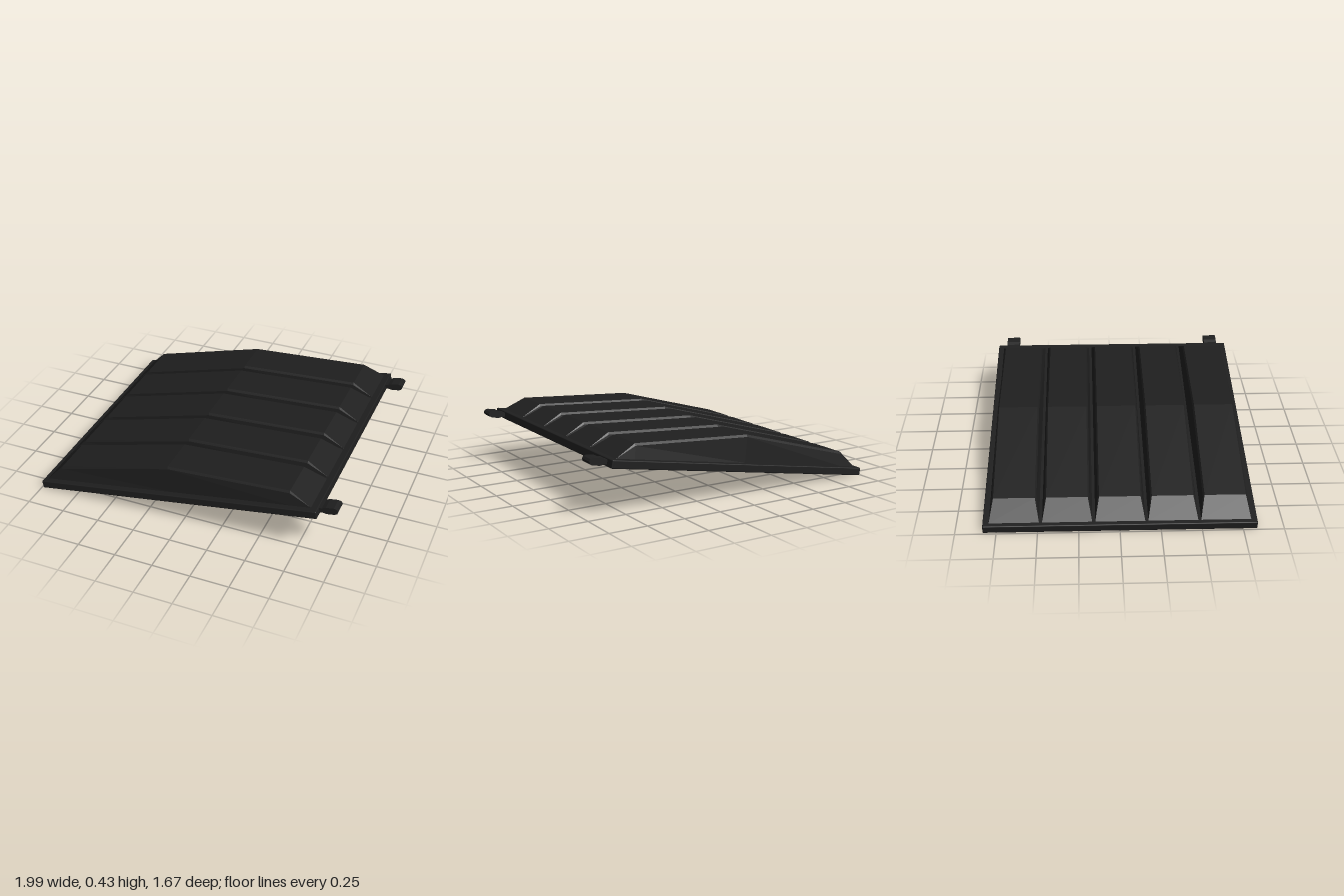
import * as THREE from 'three';
import { RoundedBoxGeometry } from 'three/addons/geometries/RoundedBoxGeometry.js';

const LENGTH = 1.902, WIDTH = 1.668, RIM = 0.052, RIBS = 5, PITCH = 0.322, EDGE = 0.006;

// Rib outline along the panel: [distance, height above the sheet]
const OUTLINE = [[EDGE, 0], [0.03, 0], [0.151, 0.092], [0.936, 0.175], [1.733, 0.091], [1.86, 0], [LENGTH - EDGE, 0]];

// Ribbed sheet swept along the panel; inset > 0 gives the hollow underside
function ribbedSheet(inset, flip) {
  const rows = OUTLINE.map(([u, h], i) => {
    const shift = i === 1 || i === 2 ? inset * 0.6 : i === 4 || i === 5 ? -inset * 0.6 : 0;
    const y = RIM - inset;
    const row = [[u, y, -WIDTH / 2 + EDGE]];
    const bevel = Math.min(0.014, h * 0.3);
    const base = 0.152 - inset * 0.7;
    const shoulder = base - 0.17 * Math.min(h, 0.092);
    for (let r = 0; r < RIBS; r++) {
      const z = (r - (RIBS - 1) / 2) * PITCH;
      const half = [[base, 0], [shoulder, h - bevel], [shoulder - bevel * 0.7, h]];
      half.forEach(([w, t]) => row.push([u + shift, y + t, z - w]));
      half.reverse().forEach(([w, t]) => row.push([u + shift, y + t, z + w]));
    }
    row.push([u, y, WIDTH / 2 - EDGE]);
    return row;
  });
  const pos = [];
  for (let i = 0; i < rows.length - 1; i++) {
    for (let j = 0; j < rows[i].length - 1; j++) {
      const a = rows[i][j], b = rows[i][j + 1], c = rows[i + 1][j + 1], d = rows[i + 1][j];
      const tris = flip ? [a, c, b, a, d, c] : [a, b, c, a, c, d];
      tris.forEach((p) => pos.push(...p));
    }
  }
  const geo = new THREE.BufferGeometry();
  geo.setAttribute('position', new THREE.Float32BufferAttribute(pos, 3));
  geo.computeVertexNormals();
  return geo;
}

export function createModel() {
  const black = new THREE.MeshStandardMaterial({ color: 0x1f1f1f });
  black.name = 'black plastic';
  const model = new THREE.Group();
  model.name = 'ribbedPanel';

  // Everything is built flat, then tilted
  const panel = new THREE.Group();
  panel.name = 'tiltedPanel';
  panel.position.set(-0.989, 0.003, 0.002);
  panel.rotation.z = Math.atan(0.169);
  model.add(panel);

  const add = (name, geo, x = 0, y = 0, z = 0) => {
    const mesh = new THREE.Mesh(geo, black);
    mesh.name = name;
    mesh.position.set(x, y, z);
    panel.add(mesh);
  };

  // Sheet with raised ribs, and its hollow underside
  add('ribbedTop', ribbedSheet(0, false));
  add('ribbedUnderside', ribbedSheet(0.024, true));

  // Rim around the sheet, its top just under the sheet surface
  const rimHeight = RIM - 0.001, rimY = rimHeight / 2;
  for (const s of [-1, 1]) {
    add(s > 0 ? 'frontRim' : 'backRim', new RoundedBoxGeometry(LENGTH, rimHeight, 0.032, 2, EDGE),
      LENGTH / 2, rimY, s * (WIDTH / 2 - 0.016));
    add(s > 0 ? 'upperRim' : 'lowerRim', new RoundedBoxGeometry(0.028, rimHeight, WIDTH, 2, EDGE),
      s > 0 ? LENGTH - 0.014 : 0.014, rimY, 0);
  }

  // Two hinge tabs with thickened tips
  const profile = [[1.88, 0.012], [1.92, 0.012], [1.945, 0.004], [1.995, 0.004], [2.013, 0.012], [2.02, 0.026],
    [2.013, 0.041], [1.995, 0.049], [1.945, 0.049], [1.92, 0.042], [1.88, 0.042]];
  const tab = new THREE.ExtrudeGeometry(new THREE.Shape(profile.map((p) => new THREE.Vector2(...p))),
    { depth: 0.09, bevelEnabled: false });
  add('frontHingeTab', tab, 0, 0, 0.687);
  add('backHingeTab', tab, 0, 0, -0.775);

  return model;
}
